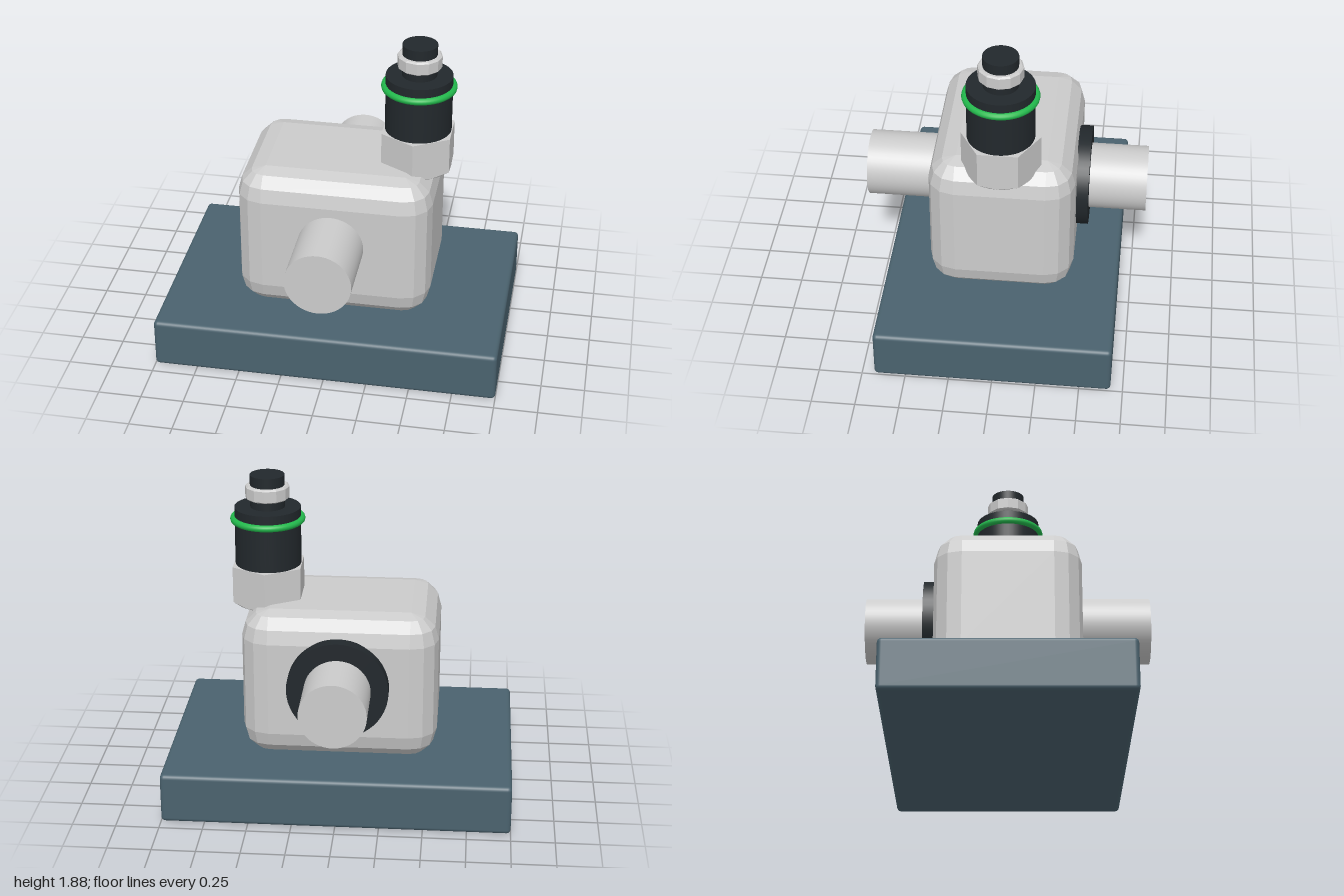
import * as THREE from 'three';
import { RoundedBoxGeometry } from 'three/addons/geometries/RoundedBoxGeometry.js';
import { ConvexGeometry } from 'three/addons/geometries/ConvexGeometry.js';

const grey = new THREE.MeshStandardMaterial({ color: 0xcccccc });
const facetedGrey = new THREE.MeshStandardMaterial({ color: 0xcccccc, flatShading: true });
const black = new THREE.MeshStandardMaterial({ color: 0x22282c });
const green = new THREE.MeshStandardMaterial({ color: 0x22b84c });
const slate = new THREE.MeshStandardMaterial({ color: 0x4a626e });

// Box whose edges are rounded by a few flat facets
function facetedBox(w, h, d, r, steps) {
  const points = [];
  for (const sx of [-1, 1]) for (const sy of [-1, 1]) for (const sz of [-1, 1]) {
    for (let i = 0; i <= steps; i++) {
      for (let j = 0; j <= steps; j++) {
        const lat = (i / steps) * Math.PI / 2;
        const lon = (j / steps) * Math.PI / 2;
        points.push(new THREE.Vector3(
          sx * (w / 2 - r + r * Math.cos(lat) * Math.cos(lon)),
          sy * (h / 2 - r + r * Math.sin(lat)),
          sz * (d / 2 - r + r * Math.cos(lat) * Math.sin(lon))));
        if (i === steps) break; // single point at the pole
      }
    }
  }
  return new ConvexGeometry(points);
}

// Hexagonal prism with its lower corners turned down to a circle
function hexNut(radius, y0, y1, chamfer) {
  const points = [];
  for (let i = 0; i < 6; i++) {
    const a = (i * Math.PI) / 3;
    for (const y of [y0 + chamfer, y1]) {
      points.push(new THREE.Vector3(radius * Math.sin(a), y, radius * Math.cos(a)));
    }
  }
  const inner = radius * Math.cos(Math.PI / 6);
  for (let i = 0; i < 24; i++) {
    const a = (i * Math.PI) / 12;
    points.push(new THREE.Vector3(inner * Math.sin(a), y0, inner * Math.cos(a)));
  }
  return new ConvexGeometry(points);
}

export function createModel() {
  const model = new THREE.Group();
  model.name = 'sensorOnBase';

  const add = (parent, name, geometry, material, x = 0, y = 0, z = 0) => {
    const mesh = new THREE.Mesh(geometry, material);
    mesh.name = name;
    mesh.position.set(x, y, z);
    parent.add(mesh);
    return mesh;
  };
  // Cylinder between two heights
  const post = (parent, name, r, y0, y1, material, sides = 48) =>
    add(parent, name, new THREE.CylinderGeometry(r, r, y1 - y0, sides), material, 0, (y0 + y1) / 2);
  // Cylinder lying along z between two depths
  const rod = (name, r, z0, z1, material) =>
    add(model, name, new THREE.CylinderGeometry(r, r, z1 - z0, 48).rotateX(Math.PI / 2),
      material, 0, 0.767, (z0 + z1) / 2);

  // Base plate and housing
  add(model, 'basePlate', new RoundedBoxGeometry(2, 0.295, 1.36, 3, 0.025), slate, 0, 0.1475);
  add(model, 'housing', facetedBox(1.125, 0.875, 0.835, 0.16, 3), facetedGrey, 0, 0.7325);

  // Shaft stubs and rear seal
  rod('frontShaft', 0.19, 0.38, 0.817, grey);
  rod('rearShaft', 0.19, -0.817, -0.38, grey);
  rod('rearSeal', 0.29, -0.485, -0.41, black);

  // Cable connector standing on the housing
  const connector = new THREE.Group();
  connector.name = 'connector';
  connector.position.x = 0.435;
  model.add(connector);
  add(connector, 'hexNut', hexNut(0.225, 1.122, 1.357, 0.022), facetedGrey);
  post(connector, 'barrel', 0.19, 1.34, 1.695, black);
  add(connector, 'sealRing', new THREE.TorusGeometry(0.195, 0.02, 12, 64).rotateX(Math.PI / 2),
    green, 0, 1.625);
  post(connector, 'plug', 0.099, 1.68, 1.885, black);

  // Faceted collar with slightly bevelled rims
  const profile = [[0.09, 1.745], [0.117, 1.745], [0.127, 1.753], [0.127, 1.817], [0.117, 1.825], [0.09, 1.825]]
    .map(([r, y]) => new THREE.Vector2(r, y));
  add(connector, 'collar', new THREE.LatheGeometry(profile, 12), facetedGrey);

  return model;
}
